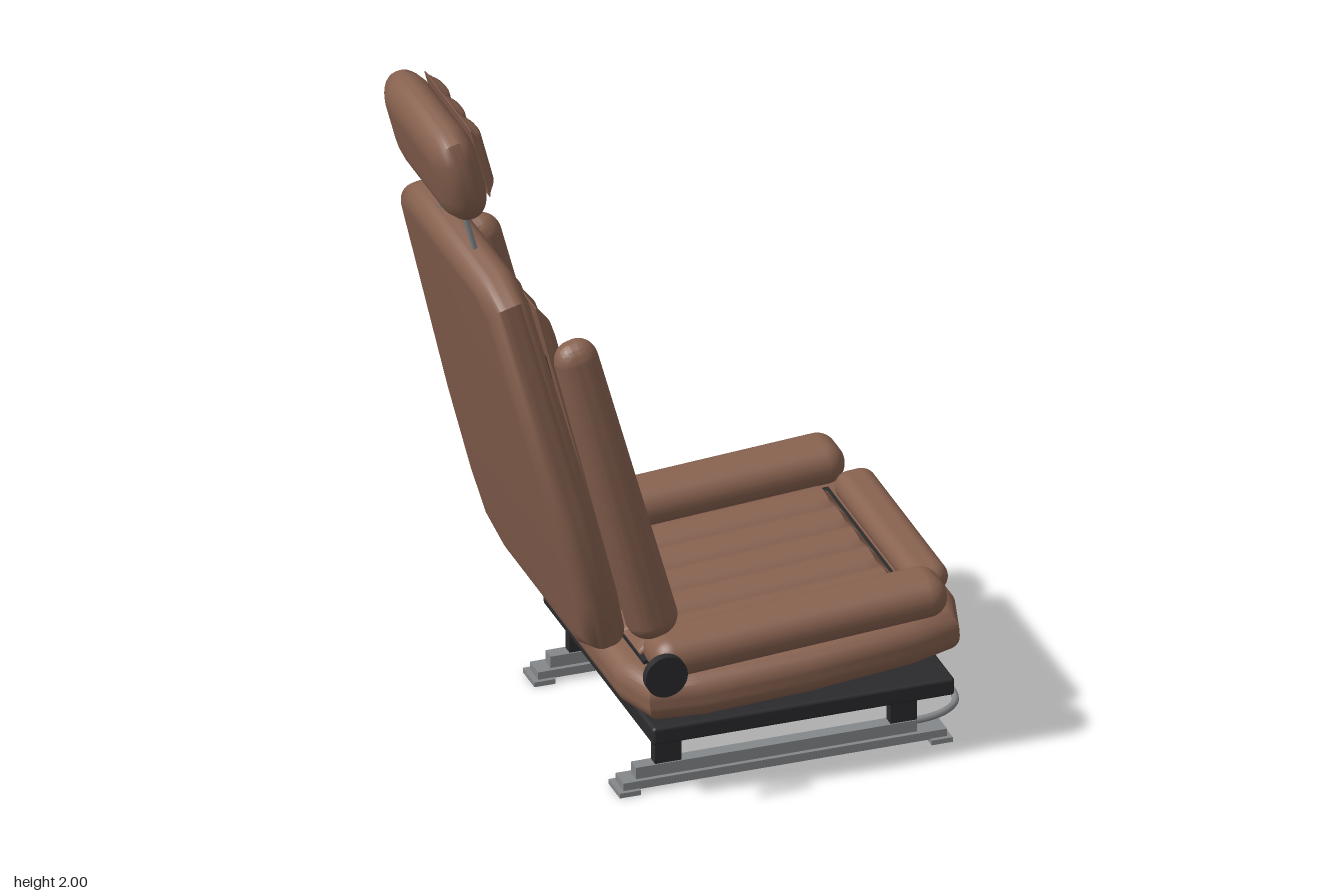
import * as THREE from 'three';
import { toCreasedNormals } from 'three/addons/utils/BufferGeometryUtils.js';
import { RoundedBoxGeometry } from 'three/addons/geometries/RoundedBoxGeometry.js';

const leather = new THREE.MeshStandardMaterial({ color: 0x87614f });
leather.name = 'brown leather';
const black = new THREE.MeshStandardMaterial({ color: 0x2b2b2d });
black.name = 'black plastic';
const steel = new THREE.MeshStandardMaterial({ color: 0x85888a });
steel.name = 'grey steel';

const V = (x, y, z) => new THREE.Vector3(x, y, z);

function add(parent, name, geometry, material, x = 0, y = 0, z = 0) {
  const mesh = new THREE.Mesh(geometry, material);
  mesh.name = name;
  mesh.position.set(x, y, z);
  parent.add(mesh);
  return mesh;
}

function addGroup(parent, name, x, y, z, tilt = 0) {
  const group = new THREE.Group();
  group.name = name;
  group.position.set(x, y, z);
  group.rotation.z = tilt;
  parent.add(group);
  return group;
}

// Puffed slab: half outline (mirrored across the width), thick along x
function cushion(half, thickness, bevelSize, core) {
  const pts = half.map(([w, h]) => new THREE.Vector2(w, h));
  const mirrored = half.slice().reverse().map(([w, h]) => new THREE.Vector2(-w, h));
  const geo = new THREE.ExtrudeGeometry(new THREE.Shape([...pts, ...mirrored]), {
    depth: core, bevelThickness: (thickness - core) / 2, bevelSize,
    bevelOffset: -bevelSize, bevelSegments: 8,
  });
  geo.translate(0, 0, -core / 2).rotateY(Math.PI / 2);
  return toCreasedNormals(geo, 0.85);
}

// Pleated panel: scalloped across its width, sloping down at both ends, facing +x
function pleats(width, length, depth, count, ramp) {
  const geo = new THREE.BoxGeometry(width, length, depth, count * 8, 24, 1);
  const p = geo.attributes.position;
  for (let i = 0; i < p.count; i++) {
    let z = 0;
    if (p.getZ(i) > 0) {
      const u = (p.getX(i) / width + 0.5) * count;
      const scallop = 0.45 + 0.55 * Math.sqrt(Math.abs(Math.sin(Math.PI * u)));
      const end = Math.min(1, (length / 2 - Math.abs(p.getY(i))) / ramp);
      z = depth * Math.max(0.06, scallop * end);
    }
    p.setZ(i, z);
  }
  geo.rotateY(Math.PI / 2);
  return toCreasedNormals(geo, 0.6);
}

function rod(parent, name, a, b, r, material) {
  const mesh = add(parent, name, new THREE.CylinderGeometry(r, r, a.distanceTo(b), 14), material);
  mesh.position.copy(a).lerp(b, 0.5);
  mesh.quaternion.setFromUnitVectors(V(0, 1, 0), b.clone().sub(a).normalize());
}

export function createModel() {
  const model = new THREE.Group();
  model.name = 'carSeat';
  const seatAll = addGroup(model, 'seat', 0, 0, 0.02);

  // Floor rails, feet and legs
  for (const s of [1, -1]) {
    const rail = addGroup(seatAll, 'rail', 0, 0, s * 0.336);
    for (const x of [-0.245, 0.642]) add(rail, 'railFoot', new THREE.BoxGeometry(0.06, 0.014, 0.09), steel, x, 0.007);
    add(rail, 'lowerRail', new THREE.BoxGeometry(0.92, 0.024, 0.066), steel, 0.2, 0.024);
    add(rail, 'upperRail', new THREE.BoxGeometry(0.8, 0.034, 0.04), steel, 0.18, 0.053);
    for (const x of [-0.127, 0.543]) add(rail, 'leg', new THREE.BoxGeometry(0.075, 0.11, 0.032), black, x, 0.122);
  }

  // Sliding handle joining the rails
  const handle = new THREE.CatmullRomCurve3([
    V(0.5, 0.055, 0.325), V(0.62, 0.055, 0.325), V(0.68, 0.06, 0.31), V(0.72, 0.065, 0.27),
    V(0.72, 0.065, 0), V(0.72, 0.065, -0.27), V(0.68, 0.06, -0.31), V(0.62, 0.055, -0.325), V(0.5, 0.055, -0.325),
  ]);
  add(seatAll, 'slideHandle', new THREE.TubeGeometry(handle, 60, 0.01, 10), steel);

  // Seat frame
  add(seatAll, 'seatFrame', new RoundedBoxGeometry(0.86, 0.052, 0.868, 2, 0.01), black, 0.23, 0.196);

  // Seat cushion
  const base = addGroup(seatAll, 'seatBase', 0.228, 0.33, 0, 0.07);
  const baseOutline = [
    [0.3, -0.4825], [0.44, -0.44], [0.475, -0.3], [0.487, 0], [0.47, 0.31], [0.435, 0.445], [0.3, 0.4825],
  ];
  add(base, 'seatCushion', cushion(baseOutline, 0.135, 0.06, 0.02), leather).rotation.z = Math.PI / 2;
  base.children[0].rotation.z = -Math.PI / 2;
  add(base, 'seatInnerPanel', new THREE.BoxGeometry(0.77, 0.016, 0.67), black, -0.03, 0.07);
  const seatPleats = pleats(0.605, 0.755, 0.045, 5, 0.03).rotateZ(Math.PI / 2);
  add(base, 'seatPleats', seatPleats, leather, -0.035, 0.08);
  for (const s of [1, -1]) {
    add(base, 'seatSideBolster', new RoundedBoxGeometry(0.84, 0.115, 0.165, 8, 0.056), leather, -0.003, 0.128, s * 0.403);
  }
  add(base, 'seatFrontBolster', new RoundedBoxGeometry(0.115, 0.085, 0.64, 8, 0.042), leather, 0.415, 0.096);

  // Backrest
  const back = addGroup(seatAll, 'backrest', -0.3, 0.43, 0, 0.251);
  const backOutline = [
    [0.28, 0], [0.42, 0.06], [0.455, 0.22], [0.452, 0.5], [0.38, 1.15], [0.27, 1.208],
  ];
  add(back, 'backCushion', cushion(backOutline, 0.122, 0.06, 0.02), leather);
  add(back, 'backInnerPanel', new THREE.BoxGeometry(0.014, 0.7, 0.68), black, 0.058, 0.59);
  add(back, 'backPleats', pleats(0.572, 0.99, 0.042, 5, 0.09), leather, 0.084, 0.562);
  for (const s of [1, -1]) {
    const geo = new RoundedBoxGeometry(0.138, 0.945, 0.122, 8, 0.06);
    const p = geo.attributes.position;
    for (let i = 0; i < p.count; i++) {
      const k = 0.93 - 0.3 * p.getY(i);
      p.setZ(i, p.getZ(i) * k);
      p.setX(i, p.getX(i) * (0.4 + 0.6 * k));
    }
    geo.computeVertexNormals();
    const bolster = add(back, 'backSideBolster', toCreasedNormals(geo, 0.9), leather, 0.133, 0.505, s * 0.391);
    bolster.rotation.x = -s * 0.025;
  }

  // Headrest on two posts
  const head = addGroup(seatAll, 'headrest', -0.66, 1.857, 0, 0.254);
  const headOutline = [
    [0.15, -0.145], [0.215, -0.12], [0.245, -0.06], [0.248, 0.07], [0.225, 0.125], [0.16, 0.145],
  ];
  add(head, 'headCushion', cushion(headOutline, 0.13, 0.085, 0.008), leather);
  add(head, 'headPleats', pleats(0.365, 0.215, 0.034, 3, 0.03), leather, 0.064, 0.011);
  for (const s of [1, -1]) {
    rod(seatAll, 'headrestPost', V(-0.645, 1.78, s * 0.127), V(-0.583, 1.55, s * 0.127), 0.008, steel);
  }

  // Recliner hubs and lever
  for (const s of [1, -1]) {
    const hub = add(seatAll, 'reclinerHub', new THREE.CylinderGeometry(0.06, 0.06, 0.024, 28), black, -0.195, 0.427, s * 0.517);
    hub.rotation.x = Math.PI / 2;
  }
  rod(seatAll, 'reclinerLever', V(-0.155, 0.415, -0.535), V(0.13, 0.37, -0.545), 0.009, steel);
  add(seatAll, 'leverKnob', new THREE.SphereGeometry(0.023, 18, 12), black, 0.142, 0.369, -0.546).scale.x = 1.35;

  return model;
}
